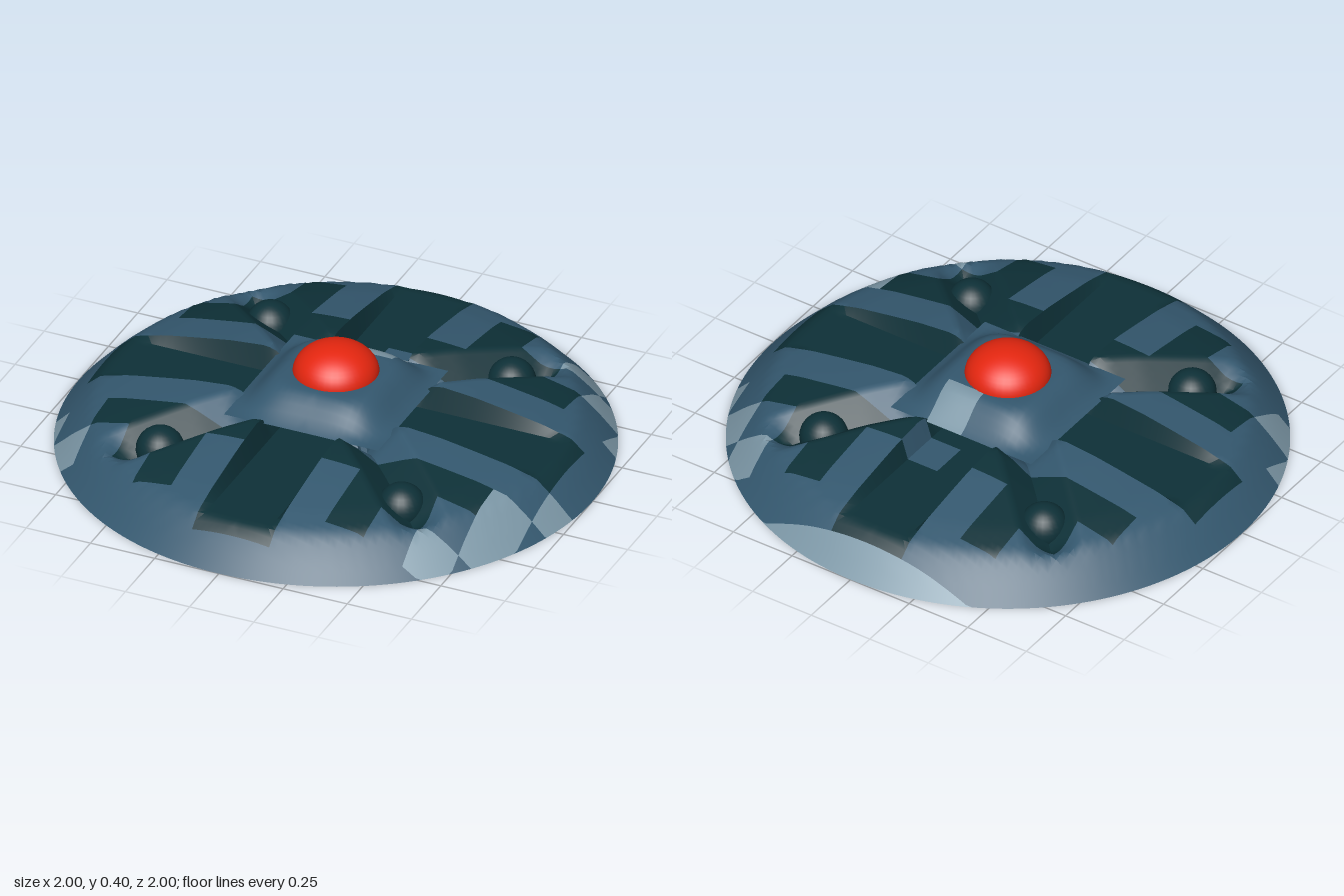
import * as THREE from 'three';
import { toCreasedNormals } from 'three/addons/utils/BufferGeometryUtils.js';

const CELL = 0.15, STEP = 0.025;

const paint = (name, hex) => {
  const m = new THREE.MeshStandardMaterial({ color: hex, side: THREE.DoubleSide });
  m.name = name;
  return m;
};

// Piecewise linear dome profile: radius, height
const PROFILE = [[0, 0.2], [0.3, 0.2], [0.37, 0.225], [0.5, 0.212], [0.6, 0.195],
  [0.75, 0.168], [0.86, 0.138], [0.93, 0.075], [1, 0]];
function dome(r) {
  for (let i = 1; i < PROFILE.length; i++) {
    const [r0, h0] = PROFILE[i - 1], [r1, h1] = PROFILE[i];
    if (r <= r1) return h0 + (h1 - h0) * (r - r0) / (r1 - r0);
  }
  return 0;
}

// Upper hull: dome cut by a cross of flat trenches and four diagonal grooves
function hullHeight(x, z) {
  const ax = Math.abs(x), az = Math.abs(z);
  let y = dome(Math.hypot(x, z));
  if (Math.min(ax, az) < 0.149) return Math.min(y, 0.135);
  const along = (ax + az) / 2;
  if (along > 0.2 && along < 0.62) {
    const fade = Math.min(1, (0.62 - along) / 0.06);
    y -= 0.08 * fade * Math.max(0, 1 - Math.abs(ax - az) / 0.15);
  }
  return y;
}

// Raised central canopy, open underneath
function canopyHeight(x, z) {
  const m = Math.pow(x ** 4 + z ** 4, 0.25);
  const t = THREE.MathUtils.smoothstep(m, 0.17, 0.31);
  return 0.293 - 0.095 * t;
}

// Pale panels near the rim, by grid cell
const PALE = new Set(['4,-5', '5,-4', '6,-3', '6,1', '5,2', '5,3', '4,4', '-7,2', '-6,3']);
function hullColor(x, z) {
  const ax = Math.abs(x), az = Math.abs(z);
  const lo = Math.min(ax, az), hi = Math.max(ax, az);
  if (x > 0 && x < CELL && z < -0.3 && z > -0.45) return 0;
  if (lo < 0.15 && hi < 0.9) return 1;
  if (lo > 0.3 && lo < 0.45 && hi < 0.75) return 1;
  if (lo > 0.45 && hi < 0.6) return 1;
  if (ax > 0.15 && ax < 0.3 && az > 0.3 && az < 0.45) return 1;
  if (z < -0.9 && ax < 0.45) return 2;
  return PALE.has(`${Math.floor(x / CELL)},${Math.floor(z / CELL)}`) ? 2 : 0;
}

// Underside: dark, with a hull-coloured plus and eight square panels
function baseColor(x, z) {
  const lo = Math.min(Math.abs(x), Math.abs(z)), hi = Math.max(Math.abs(x), Math.abs(z));
  if (lo < 0.15 && hi < 0.3) return 0;
  return lo > 0.15 && lo < 0.3 && hi > 0.45 && hi < 0.6 ? 0 : 1;
}

// Square-grid surface, edges snapped to the unit circle, one group per colour
function surface(half, height, color, materials, name, down = false) {
  const lists = materials.map(() => []);
  const n = Math.round(half / STEP);
  const point = (i, k) => {
    let x = i * STEP, z = k * STEP;
    const r = Math.hypot(x, z);
    if (r > 1) { x /= r; z /= r; }
    return [x, height(x, z), z];
  };
  for (let i = -n; i < n; i++) for (let k = -n; k < n; k++) {
    const near = [[i, k], [i + 1, k], [i, k + 1], [i + 1, k + 1]];
    if (near.every(([a, b]) => Math.hypot(a, b) * STEP >= 1)) continue;
    const [a, b, c, d] = near.map(([u, v]) => point(u, v));
    const out = lists[color((i + 0.5) * STEP, (k + 0.5) * STEP)];
    // Split along the diagonal that points away from the centre
    const tris = (i + 0.5) * (k + 0.5) > 0
      ? [[a, c, d], [a, d, b]] : [[a, c, b], [b, c, d]];
    for (const t of tris) out.push(...(down ? t.reverse() : t).flat());
  }
  const geo = new THREE.BufferGeometry();
  geo.setAttribute('position', new THREE.Float32BufferAttribute(lists.flat(), 3));
  let start = 0;
  lists.forEach((l, i) => {
    geo.addGroup(start, l.length / 3, i);
    start += l.length / 3;
  });
  const mesh = new THREE.Mesh(toCreasedNormals(geo, 0.7), materials);
  mesh.name = name;
  return mesh;
}

export function createModel() {
  const group = new THREE.Group();
  const blue = paint('hullBlue', 0x34586f);
  const teal = paint('darkTeal', 0x0e3138);
  const pale = paint('paleBlue', 0x7b96a5);
  const red = paint('domeRed', 0xe5260f);
  const skins = [blue, teal, pale];

  group.add(surface(1.05, hullHeight, hullColor, skins, 'upperHull'));
  group.add(surface(1.05, () => 0, baseColor, skins, 'underside', true));
  group.add(surface(0.3, canopyHeight,
    (x, z) => (x > 0 && x < CELL && z < -CELL ? 2 : 0), skins, 'canopy'));

  // Red cockpit dome
  const cockpit = new THREE.Mesh(new THREE.SphereGeometry(0.155, 40, 24), red);
  cockpit.scale.y = 0.72;
  cockpit.position.y = 0.284;
  cockpit.name = 'cockpitDome';
  group.add(cockpit);

  // Four pods sitting in the diagonal grooves
  for (const sx of [-1, 1]) for (const sz of [-1, 1]) {
    const pod = new THREE.Mesh(new THREE.SphereGeometry(0.088, 24, 16), teal);
    pod.position.set(sx * 0.47, 0.105, sz * 0.47);
    pod.name = 'pod';
    group.add(pod);
  }
  return group;
}
